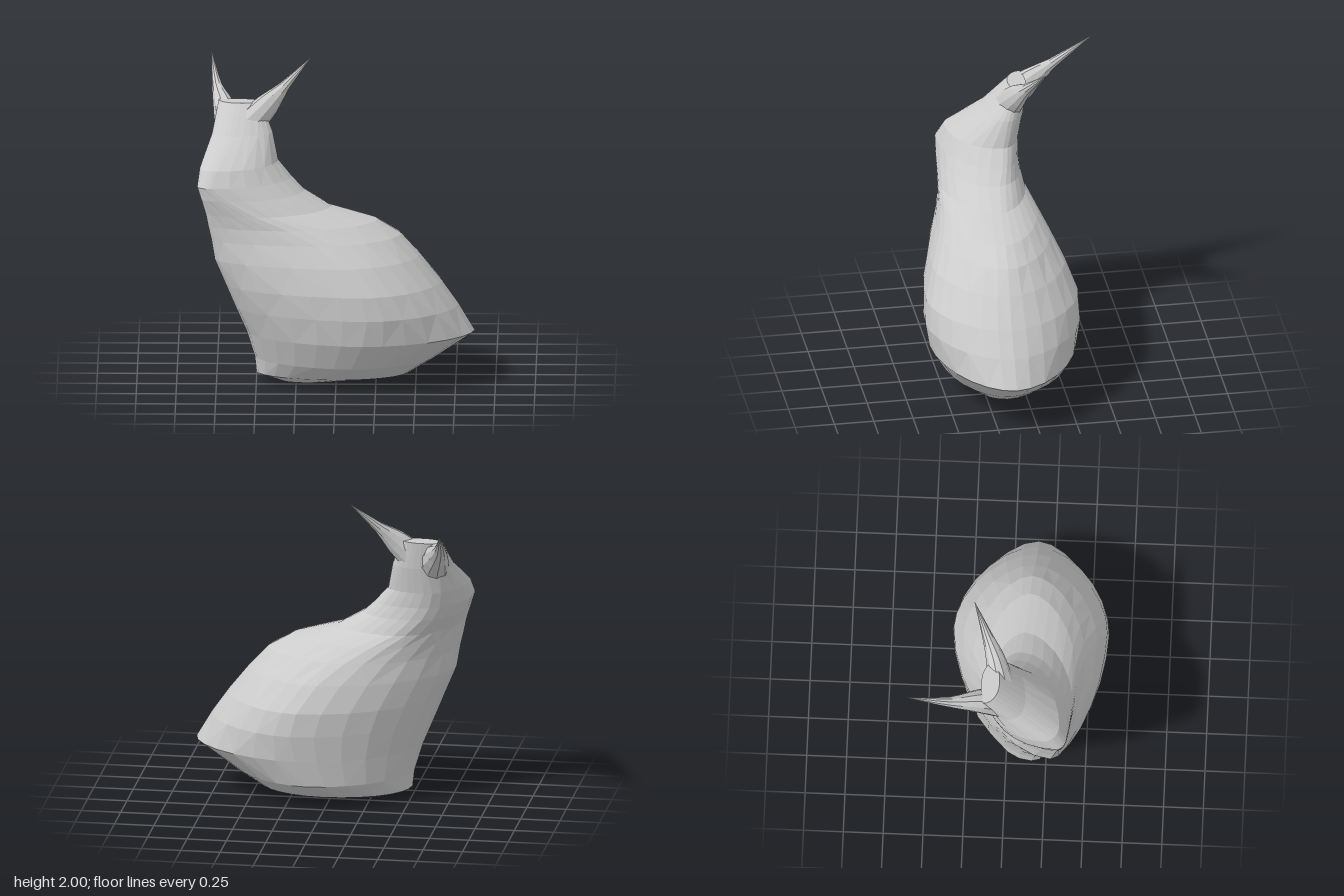
import * as THREE from 'three';

const material = new THREE.MeshStandardMaterial({ color: 0xcccccc, flatShading: true });

// Skin a list of rings (arrays of Vector3, counterclockwise seen from the end) and cap both ends
function loft(name, rings) {
  const n = rings[0].length, pos = [], idx = [];
  rings.forEach(r => r.forEach(p => pos.push(p.x, p.y, p.z)));
  for (let i = 0; i < rings.length - 1; i++) {
    for (let j = 0; j < n; j++) {
      const a = i * n + j, b = i * n + (j + 1) % n, c = a + n, d = b + n;
      if ((i + j) % 2) idx.push(a, b, d, a, d, c);
      else idx.push(a, b, c, b, d, c);
    }
  }
  [0, rings.length - 1].forEach((k, top) => {
    const center = new THREE.Vector3();
    rings[k].forEach(p => center.addScaledVector(p, 1 / n));
    const ci = pos.length / 3;
    pos.push(center.x, center.y, center.z);
    for (let j = 0; j < n; j++) {
      const a = k * n + j, b = k * n + (j + 1) % n;
      if (top) idx.push(ci, a, b); else idx.push(ci, b, a);
    }
  });
  const geo = new THREE.BufferGeometry();
  geo.setAttribute('position', new THREE.Float32BufferAttribute(pos, 3));
  geo.setIndex(idx);
  geo.computeVertexNormals();
  const mesh = new THREE.Mesh(geo, material);
  mesh.name = name;
  return mesh;
}

// Horizontal ring through its left, front, right and back extremes;
// each quarter is an ellipse arc, a little pointed on the body
function section([y, lx, lz, fx, fz, rx, rz, bz]) {
  const perQuarter = 7, power = y > 0.1 && y < 1.2 ? 1.13 : 1;
  const bx = y < 1 ? fx : (lx + rx) / 2;
  const corners = [[lx, lz], [fx, fz], [rx, rz], [bx, bz]], ring = [];
  for (let q = 0; q < 4; q++) {
    const [x0, z0] = corners[q], [x1, z1] = corners[(q + 1) % 4];
    for (let k = 0; k < perQuarter; k++) {
      const t = k / perQuarter * Math.PI / 2;
      const c = Math.cos(t) ** power, s = Math.sin(t) ** power;
      ring.push(q % 2 === 0
        ? new THREE.Vector3(x1 + (x0 - x1) * c, y, z0 + (z1 - z0) * s)
        : new THREE.Vector3(x0 + (x1 - x0) * s, y, z1 + (z0 - z1) * c));
    }
  }
  return ring;
}

// Tapering curved ear: widths follow the side vector, thicknesses the normal to it
function ear(name, points, side, widths, thicknesses) {
  const curve = new THREE.CatmullRomCurve3(points.map(p => new THREE.Vector3(...p)));
  const steps = 9, n = 10, rings = [];
  const pick = (list, t) => {
    const f = t * (list.length - 1), i = Math.min(Math.floor(f), list.length - 2);
    return THREE.MathUtils.lerp(list[i], list[i + 1], f - i);
  };
  for (let i = 0; i <= steps; i++) {
    const t = i / steps, center = curve.getPoint(t), dir = curve.getTangent(t);
    const u = new THREE.Vector3(...side);
    u.addScaledVector(dir, -u.dot(dir)).normalize();
    const v = dir.clone().cross(u);
    rings.push(Array.from({ length: n }, (_, j) => {
      const a = j / n * Math.PI * 2;
      return center.clone()
        .addScaledVector(u, Math.cos(a) * pick(widths, t))
        .addScaledVector(v, Math.sin(a) * pick(thicknesses, t));
    }));
  }
  return loft(name, rings);
}

export function createModel() {
  const group = new THREE.Group();
  group.name = 'sittingAnimal';

  // Body, neck and head: y, left x z, front x z, right x z, back z
  const rows = [
    [0, -0.34, 0.15, -0.18, 0.22, 0.02, 0.14, 0.06],
    [0.06, -0.5, 0.16, 0.02, 0.38, 0.46, 0.14, -0.18],
    [0.16, -0.51, 0.17, 0.1, 0.5, 0.62, 0.15, -0.3],
    [0.33, -0.56, 0.2, 0.17, 0.59, 0.87, 0.15, -0.335],
    [0.5, -0.63, 0.24, 0.2, 0.62, 0.77, 0.15, -0.36],
    [0.65, -0.69, 0.27, 0.16, 0.61, 0.665, 0.15, -0.355],
    [0.82, -0.76, 0.29, 0.04, 0.55, 0.53, 0.14, -0.29],
    [0.95, -0.78, 0.31, -0.12, 0.48, 0.41, 0.13, -0.22],
    [1.04, -0.8, 0.32, -0.3, 0.44, 0.26, 0.12, -0.165],
    [1.12, -0.815, 0.33, -0.5, 0.42, -0.03, 0.1, -0.115],
    [1.22, -0.845, 0.34, -0.68, 0.405, -0.2, 0.08, -0.095],
    [1.3, -0.87, 0.33, -0.78, 0.395, -0.28, 0.05, -0.09],
    [1.4, -0.855, 0.25, -0.75, 0.345, -0.365, 0.03, -0.1],
    [1.57, -0.78, 0.04, -0.64, 0.13, -0.4, -0.01, -0.13],
    [1.745, -0.74, -0.13, -0.6, -0.035, -0.47, -0.08, -0.15],
  ];
  group.add(loft('bodyAndHead', rows.map(section)));

  // Right ear sweeps backward, left ear sweeps sideways and up
  group.add(ear('rightEar',
    [[-0.66, 1.56, -0.03], [-0.7, 1.67, -0.16], [-0.75, 1.77, -0.34], [-0.79, 1.93, -0.61]],
    [1, 0, 0], [0.1, 0.075, 0.035, 0.001], [0.09, 0.085, 0.035, 0.001]));
  group.add(ear('leftEar',
    [[-0.56, 1.6, -0.03], [-0.43, 1.73, -0.07], [-0.33, 1.83, -0.12], [-0.16, 2, -0.21]],
    [0.3, 0, 1], [0.09, 0.06, 0.035, 0.001], [0.1, 0.075, 0.035, 0.001]));
  return group;
}
